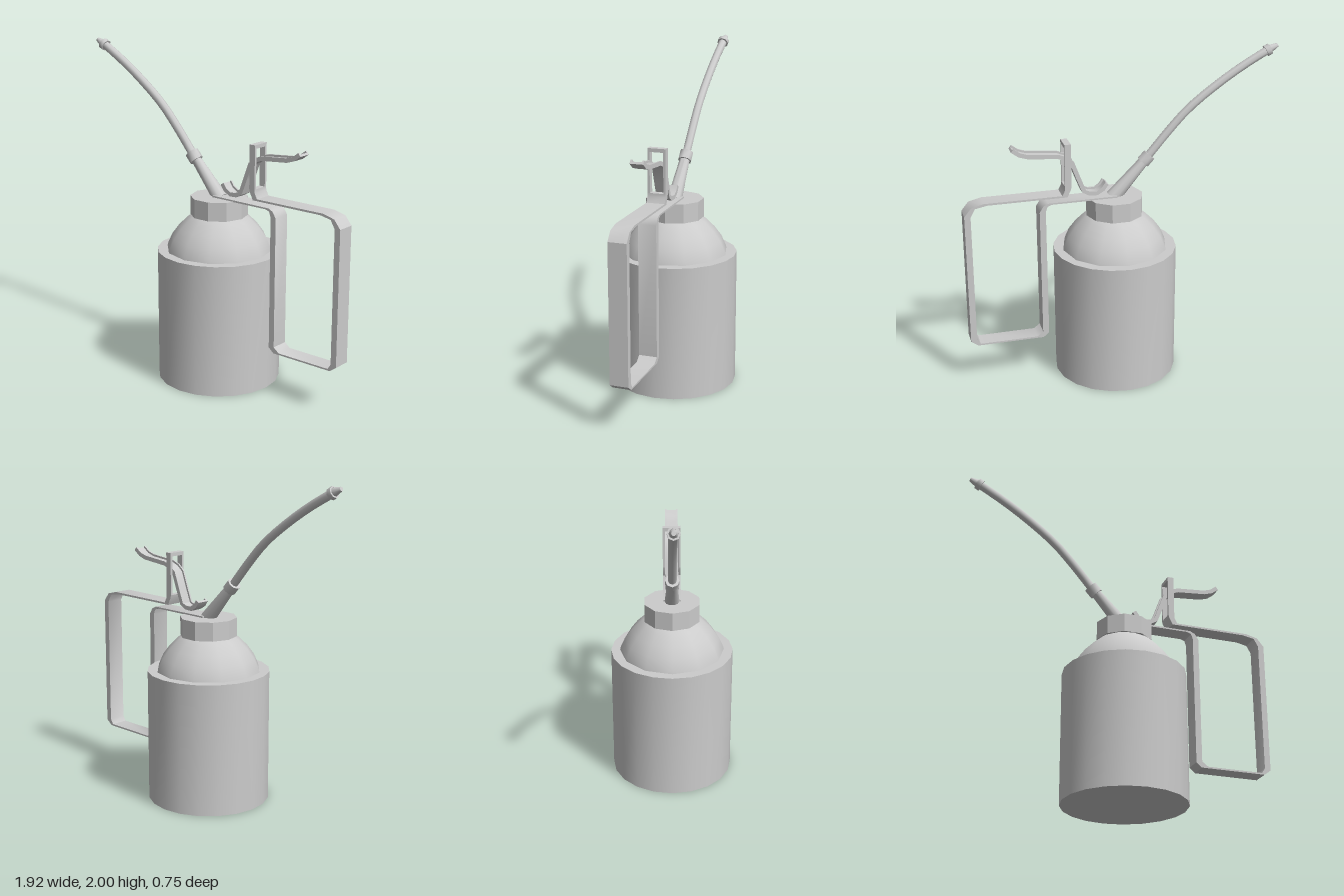
import * as THREE from 'three';
import { toCreasedNormals } from 'three/addons/utils/BufferGeometryUtils.js';

const CX = 0.045; // axis of the can
const material = new THREE.MeshStandardMaterial({ color: 0xcccccc, side: THREE.DoubleSide });
const v2 = (p) => new THREE.Vector2(p[0], p[1]);

export function createModel() {
  const model = new THREE.Group();

  function add(name, geometry, parent = model, crease = 0.65) {
    const mesh = new THREE.Mesh(toCreasedNormals(geometry, crease), material);
    mesh.name = name;
    parent.add(mesh);
    return mesh;
  }

  // Side outline in x/y given a width in z, centred on z
  function slab(name, points, width, z = 0, parent = model) {
    const geometry = new THREE.ExtrudeGeometry(new THREE.Shape(points.map(v2)), { depth: width, bevelEnabled: false });
    geometry.translate(0, 0, z - width / 2);
    return add(name, geometry, parent);
  }

  // Outline of a bent strip: the path offset to both sides
  function strip(path, below, above) {
    const pts = path.map(v2);
    const offset = (d) => pts.map((p, i) => {
      const a = pts[Math.max(i - 1, 0)], b = pts[Math.min(i + 1, pts.length - 1)];
      const t = b.clone().sub(a).normalize();
      return [p.x - t.y * d, p.y + t.x * d];
    });
    return [...offset(-below), ...offset(above).reverse()];
  }

  // Straight round piece between two points in the x/y plane
  function rod(name, a, b, r0, r1, parent, sides = 10) {
    const p = v2(a), q = v2(b), d = q.clone().sub(p);
    const geometry = new THREE.CylinderGeometry(r1, r0, d.length(), sides);
    geometry.rotateZ(Math.atan2(d.y, d.x) - Math.PI / 2);
    geometry.translate((p.x + q.x) / 2, (p.y + q.y) / 2, 0);
    return add(name, geometry, parent, 0.8);
  }

  // Can
  add('canBody', new THREE.CylinderGeometry(0.374, 0.374, 0.812, 20).translate(CX, 0.406, 0));
  const dome = [[0.325, 0.79], [0.315, 0.83], [0.289, 0.89], [0.245, 0.95], [0.19, 1.005], [0.14, 1.04], [0, 1.06]];
  add('dome', new THREE.LatheGeometry(dome.map(v2), 12).translate(CX, 0, 0), model, 0.8);
  add('cap', new THREE.CylinderGeometry(0.174, 0.174, 0.115, 10).rotateY(Math.PI / 2).translate(CX, 1.0825, 0), model, 0.3);

  // Spout: tapered base, collar, bent tube and nozzle
  const spout = new THREE.Group();
  spout.name = 'spout';
  model.add(spout);
  rod('spoutBase', [0.055, 1.125], [-0.135, 1.335], 0.046, 0.031, spout);
  rod('spoutCollar', [-0.132, 1.33], [-0.172, 1.374], 0.042, 0.042, spout, 8);
  const bend = [[-0.16, 1.362], [-0.28, 1.503], [-0.41, 1.64], [-0.6, 1.785], [-0.76, 1.887], [-0.915, 1.972]];
  const curve = new THREE.CatmullRomCurve3(bend.map((p) => new THREE.Vector3(p[0], p[1], 0)));
  add('spoutTube', new THREE.TubeGeometry(curve, 12, 0.026, 8), spout, 0.8);
  rod('tipCollar', [-0.885, 1.956], [-0.91, 1.969], 0.036, 0.036, spout, 8);
  rod('nozzle', [-0.91, 1.969], [-0.957, 1.989], 0.026, 0.013, spout, 8);

  // Handle: one band bent round from the cap to the lever post
  slab('handle', [
    [0.04, 1.15], [0.46, 1.147], [0.49, 1.132], [0.513, 1.095], [0.513, 0.303], [0.55, 0.275],
    [0.9, 0.275], [0.92, 0.307], [0.92, 1.11], [0.892, 1.16], [0.82, 1.174], [0.344, 1.175],
    [0.344, 1.186], [0.84, 1.186], [0.915, 1.167], [0.957, 1.115], [0.957, 0.296], [0.915, 0.265],
    [0.51, 0.265], [0.476, 0.295], [0.476, 1.095], [0.465, 1.128], [0.44, 1.138], [0.04, 1.138],
  ], 0.11);

  // Lever post: slotted frame on a tapered foot
  const post = new THREE.Group();
  post.name = 'leverPost';
  model.add(post);
  slab('postFoot', [[0.318, 1.24], [0.323, 1.22], [0.344, 1.175], [0.375, 1.186], [0.358, 1.22], [0.357, 1.24]], 0.11, 0, post);
  for (const side of [-1, 1]) {
    slab('postUpright', [[0.318, 1.24], [0.357, 1.24], [0.357, 1.48], [0.318, 1.48]], 0.014, side * 0.048, post);
  }
  slab('postTop', [[0.318, 1.48], [0.357, 1.48], [0.357, 1.502], [0.318, 1.502]], 0.11, 0, post);

  // Lever: bent channel with a floor and two side walls
  const lever = new THREE.Group();
  lever.name = 'lever';
  model.add(lever);
  const path = [
    [0.1, 1.23], [0.122, 1.198], [0.16, 1.175], [0.205, 1.177], [0.24, 1.195], [0.275, 1.285],
    [0.31, 1.38], [0.345, 1.408], [0.39, 1.426], [0.57, 1.442], [0.62, 1.458], [0.66, 1.488],
  ];
  slab('leverFloor', strip(path, 0.012, 0.002), 0.07, 0, lever);
  for (const side of [-1, 1]) slab('leverWall', strip(path, 0.012, 0.014), 0.01, side * 0.035, lever);

  return model;
}
